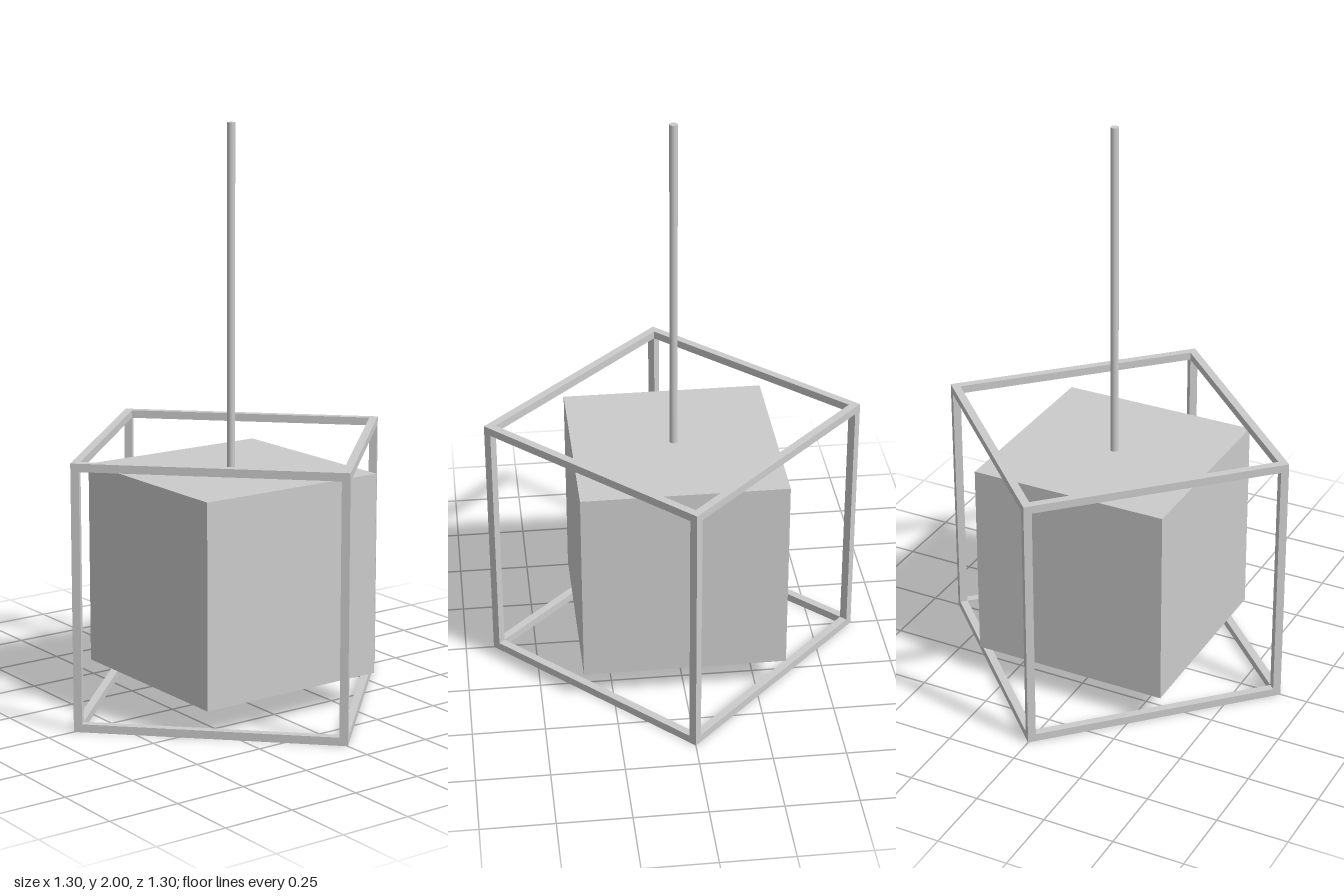
import * as THREE from 'three';

const EDGE = 0.92; // outer edge of the open frame
const BAR = 0.028; // thickness of the frame bars
const CUBE = 0.707; // edge of the solid cube
const CUBE_Y = 0.462;
const ROD_R = 0.014;

export function createModel() {
  const model = new THREE.Group();
  const material = new THREE.MeshStandardMaterial({ color: 0xcccccc });

  const add = (parent, name, geometry, x = 0, y = 0, z = 0) => {
    const mesh = new THREE.Mesh(geometry, material);
    mesh.name = name;
    mesh.position.set(x, y, z);
    parent.add(mesh);
    return mesh;
  };

  // Open cube frame, turned 45 degrees to the solid cube
  const frame = new THREE.Group();
  frame.name = 'cubeFrame';
  frame.rotation.y = Math.PI / 4;
  model.add(frame);

  // Square rings at the bottom and top
  const square = (Type, h) => new Type([[-h, -h], [h, -h], [h, h], [-h, h]].map(([x, y]) => new THREE.Vector2(x, y)));
  const ringShape = square(THREE.Shape, EDGE / 2);
  ringShape.holes.push(square(THREE.Path, EDGE / 2 - BAR));
  const ring = new THREE.ExtrudeGeometry(ringShape, { depth: BAR, bevelEnabled: false });
  ring.rotateX(-Math.PI / 2);
  add(frame, 'bottomRing', ring);
  add(frame, 'topRing', ring, 0, EDGE - BAR);

  // Corner posts between the rings
  const post = new THREE.BoxGeometry(BAR, EDGE - 2 * BAR, BAR);
  const c = (EDGE - BAR) / 2;
  for (const sx of [-1, 1]) {
    for (const sz of [-1, 1]) add(frame, 'cornerPost', post, sx * c, EDGE / 2, sz * c);
  }

  // Solid cube hanging inside the frame
  add(model, 'innerCube', new THREE.BoxGeometry(CUBE, CUBE, CUBE), 0, CUBE_Y, 0);

  // Suspension rod rising from the top of the cube
  const rodBase = CUBE_Y + CUBE / 2;
  add(model, 'suspensionRod', new THREE.CylinderGeometry(ROD_R, ROD_R, 2 - rodBase, 24), 0, (2 + rodBase) / 2, 0);

  return model;
}
